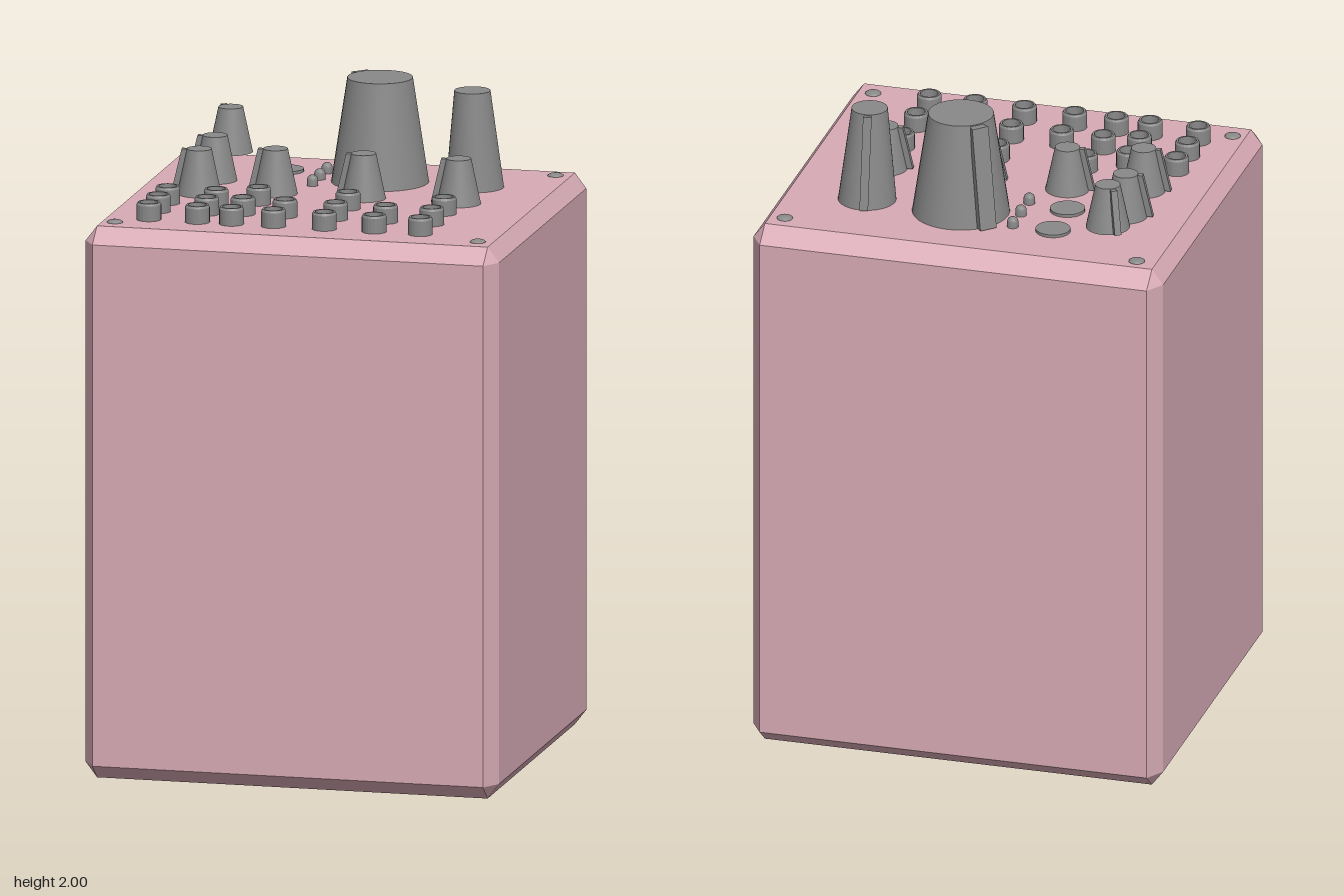
import * as THREE from 'three';
import { ConvexGeometry } from 'three/addons/geometries/ConvexGeometry.js';

const TOP = 1.682;

export function createModel() {
  const model = new THREE.Group();
  model.name = 'controlBox';
  const pink = new THREE.MeshStandardMaterial({ color: 0xd8abb6 });
  pink.name = 'pinkCase';
  const grey = new THREE.MeshStandardMaterial({ color: 0x898989 });
  grey.name = 'greyParts';

  const add = (name, geometry, material, x = 0, y = 0, z = 0, parent = model) => {
    const mesh = new THREE.Mesh(geometry, material);
    mesh.name = name;
    mesh.position.set(x, y, z);
    parent.add(mesh);
    return mesh;
  };

  // Case: a box with every edge chamfered
  const [hx, hy, hz] = [0.635, TOP / 2, 0.588];
  const [cx, cy, cz] = [0.035, 0.046, 0.058];
  const corners = [];
  for (const sx of [-1, 1]) for (const sy of [-1, 1]) for (const sz of [-1, 1]) {
    corners.push(
      new THREE.Vector3(sx * hx, sy * (hy - cy), sz * (hz - cz)),
      new THREE.Vector3(sx * (hx - cx), sy * hy, sz * (hz - cz)),
      new THREE.Vector3(sx * (hx - cx), sy * (hy - cy), sz * hz));
  }
  add('case', new ConvexGeometry(corners), pink, 0, hy, 0);

  // Knob: tapered body with a raised pointer running down its side
  function knob(name, { x, z, y = TOP, r, rTop, h, dir, width, reach, lean = [0, 0] }) {
    const group = new THREE.Group();
    group.name = name;
    group.position.set(x, y, z);
    const shear = new THREE.Matrix4().set(
      1, lean[0] / h, 0, 0,
      0, 1, 0, 0,
      0, lean[1] / h, 1, 0,
      0, 0, 0, 1);
    const body = new THREE.CylinderGeometry(rTop, r, h, 32).translate(0, h / 2, 0);
    add('knobBody', body.applyMatrix4(shear), grey, 0, 0, 0, group);
    const points = [];
    for (const s of [-1, 1]) {
      points.push(
        new THREE.Vector3(r * 0.6, 0.004, s * width * 0.3),
        new THREE.Vector3(reach, 0.004, s * width * 0.5),
        new THREE.Vector3(rTop * 0.8, h * 0.99, s * width * 0.3),
        new THREE.Vector3(rTop + (reach - r) * 0.9, h * 0.99, s * width * 0.5));
    }
    const pointer = new ConvexGeometry(points).rotateY(Math.atan2(-dir[1], dir[0]));
    add('knobPointer', pointer.applyMatrix4(shear), grey, 0, 0, 0, group);
    model.add(group);
  }

  const small = { r: 0.066, rTop: 0.037, h: 0.137, width: 0.021, reach: 0.083, dir: [-24, 3] };
  knob('rearLevelKnob', { ...small, x: -0.415, z: -0.363, y: TOP + 0.046, dir: [-14, -18] });
  for (const [x, z] of [[-0.415, -0.173], [-0.415, 0.02], [-0.195, -0.037], [0.076, -0.037], [0.368, -0.037]]) {
    knob('smallKnob', { ...small, x, z });
  }
  knob('mainKnob', {
    x: 0.066, z: -0.275, r: 0.146, rTop: 0.098, h: 2 - TOP, width: 0.055, reach: 0.17, dir: [-1, -1],
  });
  knob('tallKnob', {
    x: 0.358, z: -0.271, r: 0.087, rTop: 0.054, h: 0.295, width: 0.026, reach: 0.1,
    dir: [-5, -28], lean: [-0.006, 0.006],
  });

  // Sockets: hollow rings with a softened rim
  const socketProfile = [[0.027, 0], [0.037, 0], [0.037, 0.046], [0.033, 0.053], [0.027, 0.053], [0.027, 0]];
  const socket = new THREE.LatheGeometry(socketProfile.map(([r, y]) => new THREE.Vector2(r, y)), 24).toNonIndexed();
  socket.computeVertexNormals();
  const socketRows = [
    [0.115, [-0.208, 0.066, 0.361]],
    [0.173, [-0.473, -0.324]],
    [0.264, [-0.219, -0.09, 0.066, 0.219, 0.361]],
    [0.288, [-0.473, -0.324]],
    [0.403, [-0.473, -0.324, -0.219, -0.09, 0.066, 0.219, 0.361]],
  ];
  for (const [z, xs] of socketRows) for (const x of xs) add('socket', socket, grey, x, TOP, z);

  // Corner screws: shallow domes
  const screw = new THREE.SphereGeometry(0.024, 20, 6, 0, Math.PI * 2, 0, Math.PI / 2).scale(1, 0.38, 1);
  for (const [x, z] of [[-0.54, -0.485], [0.554, -0.476], [-0.561, 0.468], [0.554, 0.468]]) {
    add('screw', screw, grey, x, TOP, z);
  }

  // Flat round buttons
  const button = new THREE.CylinderGeometry(0.052, 0.052, 0.009, 32);
  for (const z of [-0.342, -0.188]) add('flatButton', button, grey, -0.239, TOP + 0.0045, z);

  // Indicator lamps: short stems with domed tips
  const lampProfile = [[0.017, 0], [0.017, 0.018], [0.014, 0.026], [0.008, 0.031], [0, 0.033]];
  const lamp = new THREE.LatheGeometry(lampProfile.map(([r, y]) => new THREE.Vector2(r, y)), 16);
  for (const z of [-0.346, -0.258, -0.169]) add('indicatorLamp', lamp, grey, -0.115, TOP, z);

  return model;
}
